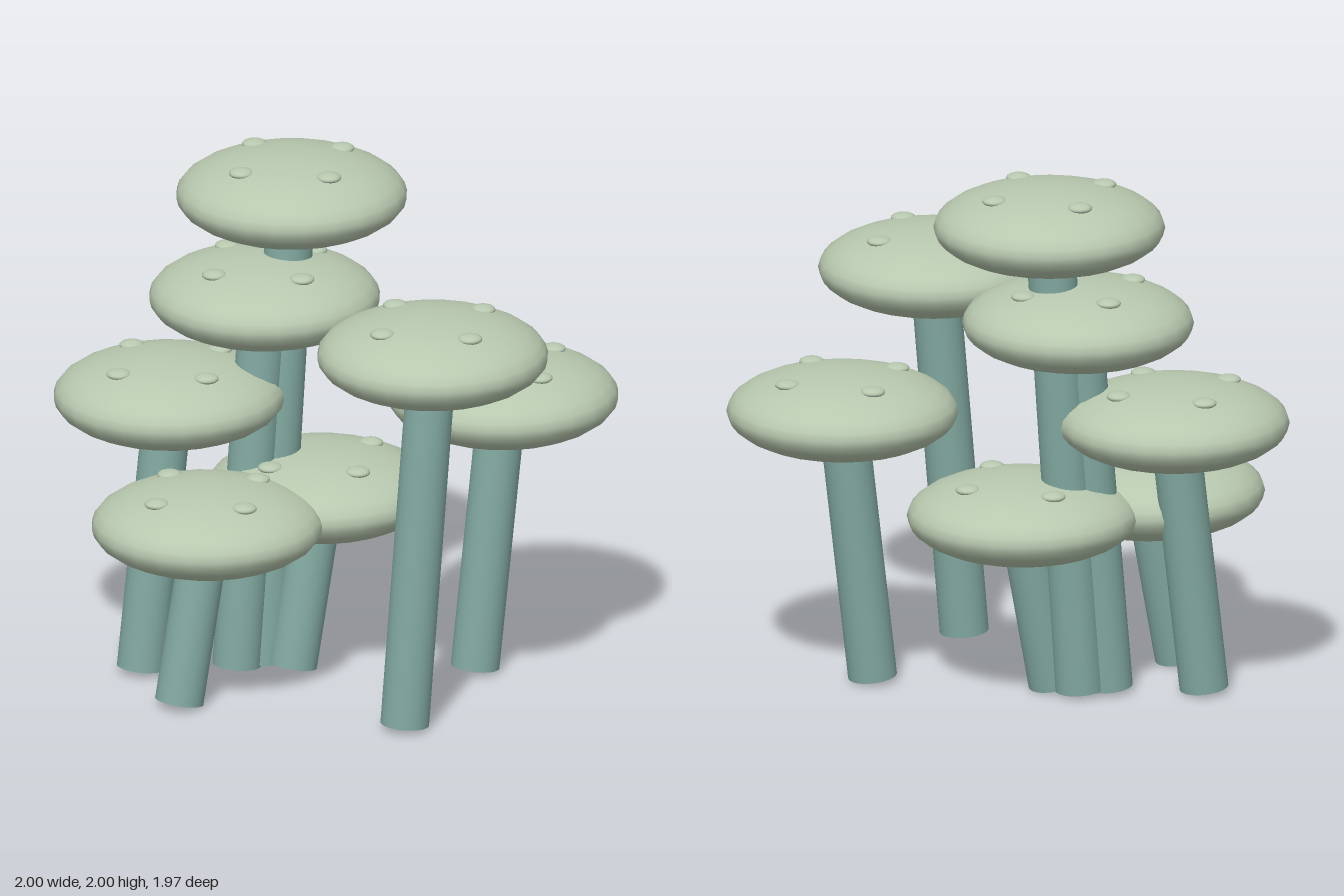
import * as THREE from 'three';

const CAP_RADIUS = 0.435, CAP_HALF_HEIGHT = 0.16;
const STEM_RADIUS = 0.092, LEAN = 0.13, FOOT_Y = 0.017;
const SPOT_RADIUS = 0.047, SPOT_OFFSET = 0.235;

// cap centres: x, y, z
const MUSHROOMS = [
  [-0.03, 1.84, -0.35],
  [-0.035, 1.455, 0.545],
  [-0.145, 1.455, -0.365],
  [-0.45, 1.07, -0.555],
  [0.56, 1.07, 0.185],
  [-0.565, 0.69, -0.16],
  [0.02, 0.69, -0.235],
];

export function createModel() {
  const capMat = new THREE.MeshStandardMaterial({ color: 0xb8c8af });
  capMat.name = 'pale sage';
  const stemMat = new THREE.MeshStandardMaterial({ color: 0x82a9a1 });
  stemMat.name = 'dusty teal';

  const capGeo = new THREE.SphereGeometry(CAP_RADIUS, 24, 16);
  capGeo.scale(1, CAP_HALF_HEIGHT / CAP_RADIUS, 1);
  const spotGeo = new THREE.SphereGeometry(SPOT_RADIUS, 16, 10);
  spotGeo.scale(1, 0.4, 1);

  const model = new THREE.Group();
  model.name = 'mushroomCluster';

  for (const [x, y, z] of MUSHROOMS) {
    const mushroom = new THREE.Group();
    mushroom.name = 'mushroom';
    mushroom.position.set(x, y, z);

    // flattened cap
    const cap = new THREE.Mesh(capGeo, capMat);
    cap.name = 'cap';
    mushroom.add(cap);

    // four low bumps around the top of the cap
    for (let i = 0; i < 4; i++) {
      const a = (i * Math.PI) / 2;
      const spot = new THREE.Mesh(spotGeo, capMat);
      spot.name = 'capSpot';
      spot.position.set(Math.cos(a) * SPOT_OFFSET, 0.133, Math.sin(a) * SPOT_OFFSET);
      mushroom.add(spot);
    }

    // leaning stem, from the ground to the middle of the cap
    const rise = y - FOOT_Y;
    const stem = new THREE.Mesh(
      new THREE.CylinderGeometry(STEM_RADIUS, STEM_RADIUS, Math.hypot(rise, LEAN), 24), stemMat);
    stem.name = 'stem';
    stem.position.set(-LEAN / 2, -rise / 2, 0);
    stem.rotation.z = -Math.atan2(LEAN, rise);
    mushroom.add(stem);

    model.add(mushroom);
  }
  return model;
}
